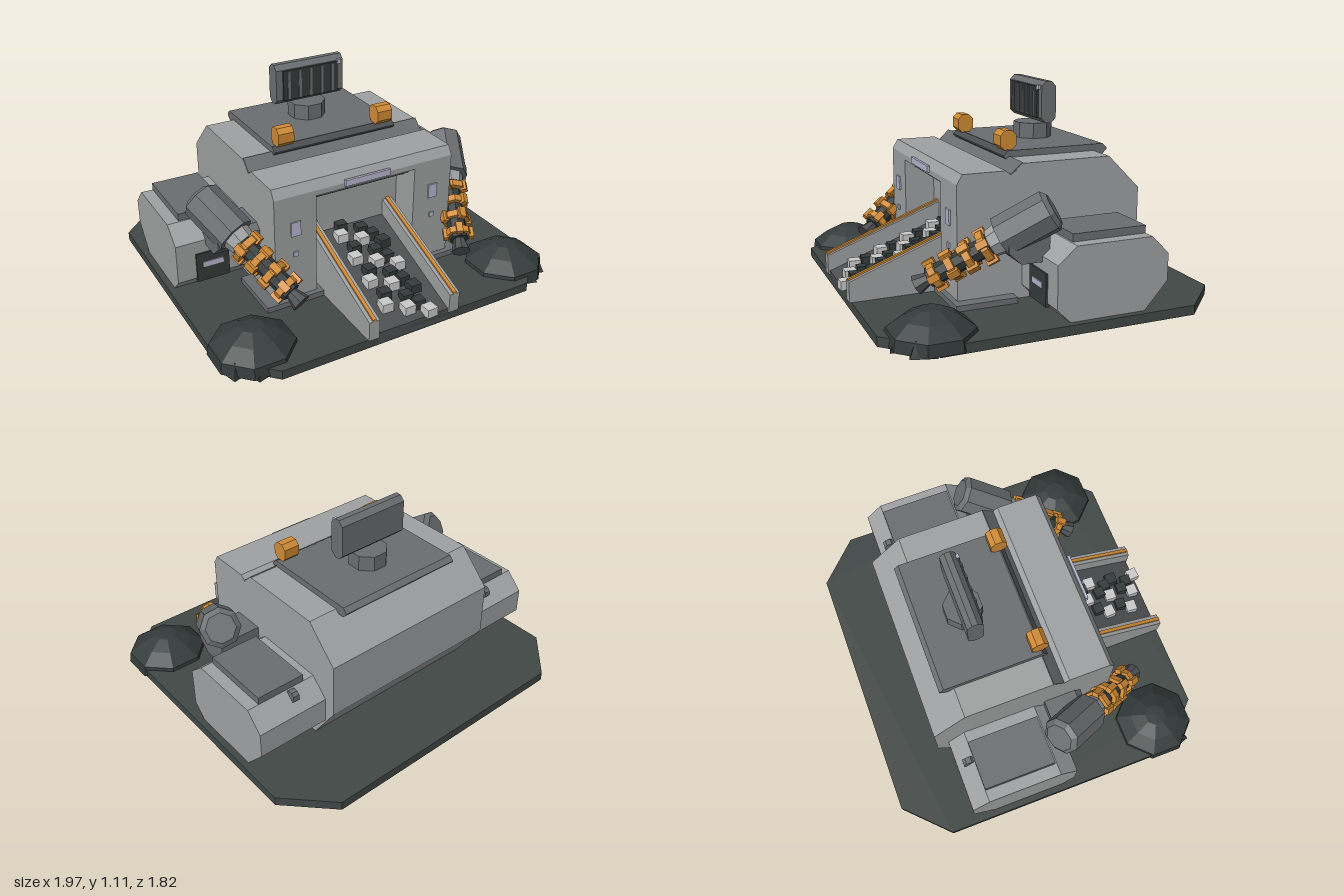
import * as THREE from 'three';

const mat = (name, color) => {
  const m = new THREE.MeshStandardMaterial({ color });
  m.name = name;
  return m;
};

export function createModel() {
  const light = mat('light grey wall', 0x9fa1a2);
  const mid = mat('medium grey metal', 0x6b6e70);
  const dark = mat('dark grey metal', 0x4d4f51);
  const slate = mat('slate ground', 0x414846);
  const black = mat('blackened steel', 0x343b3a);
  const orange = mat('orange trim', 0xd08b35);
  const glow = mat('pale lilac lamp', 0xb9b6cf);
  const pale = mat('pale ore', 0xcbcbcb);

  const root = new THREE.Group();
  root.name = 'refinery';
  root.position.x = 0.01;

  const add = (name, geo, material, parent = root) => {
    const g = geo.index ? geo.toNonIndexed() : geo;
    g.computeVertexNormals();
    const mesh = new THREE.Mesh(g, material);
    mesh.name = name;
    parent.add(mesh);
    return mesh;
  };
  // box from minimum and maximum corners
  const box = (name, m, x0, x1, y0, y1, z0, z1, parent) =>
    add(name, new THREE.BoxGeometry(x1 - x0, y1 - y0, z1 - z0)
      .translate((x0 + x1) / 2, (y0 + y1) / 2, (z0 + z1) / 2), m, parent);
  // side profile of [z, y] points swept from x0 to x1
  const prism = (name, m, pts, x0, x1, parent) => {
    const shape = new THREE.Shape(pts.map(p => new THREE.Vector2(...p)));
    const geo = new THREE.ExtrudeGeometry(shape, { depth: x1 - x0, bevelEnabled: false });
    return add(name, geo.rotateY(-Math.PI / 2).translate(x1, 0, 0), m, parent);
  };
  // rectangle profile with cut corners
  const cut = (z0, z1, y0, y1, c) => [
    [z0 + c, y0], [z1 - c, y0], [z1, y0 + c], [z1, y1 - c],
    [z1 - c, y1], [z0 + c, y1], [z0, y1 - c], [z0, y0 + c]];
  // mirrored pair of boxes or prisms given for the +x side
  const span = (s, a, b) => (s > 0 ? [a, b] : [-b, -a]);

  // ground plate with cut corners
  const plate = new THREE.Shape([
    [-0.74, -0.89], [0.74, -0.89], [0.97, -0.66], [0.97, 0.68],
    [0.74, 0.91], [-0.74, 0.91], [-0.97, 0.68], [-0.97, -0.66]
  ].map(p => new THREE.Vector2(...p)));
  add('groundPlate', new THREE.ExtrudeGeometry(plate, { depth: 0.05, bevelEnabled: false })
    .rotateX(-Math.PI / 2), slate);

  // main hall, front beam and lintel
  prism('mainHall', light, [[0.25, 0.05], [0.25, 0.69], [0.13, 0.695], [0.07, 0.75], [-0.42, 0.75],
    [-0.6, 0.57], [-0.6, 0.27], [-0.45, 0.05]], -0.535, 0.535);
  prism('frontBeam', light, [[0.13, 0.64], [0.42, 0.64], [0.42, 0.67], [0.39, 0.72], [0.16, 0.72],
    [0.13, 0.695]], -0.535, 0.535);
  prism('beamGroove', mid, [[0.132, 0.693], [0.132, 0.701], [0.07, 0.757], [0.068, 0.75]], -0.534, 0.534);
  prism('lintel', light, [[0.25, 0.57], [0.32, 0.57], [0.38, 0.645], [0.25, 0.645]], -0.3, 0.3);
  box('lintelStripe', mid, -0.3, 0.3, 0.6, 0.62, 0.3, 0.365);
  box('frontLamp', glow, -0.135, 0.135, 0.655, 0.69, 0.42, 0.435);

  // roof deck, pivot and scanner panel
  prism('roofDeck', mid, cut(-0.5, 0.1, 0.73, 0.785, 0.025), -0.37, 0.37);
  prism('roofDeckEdge', dark, [[0.076, 0.786], [0.101, 0.76], [0.101, 0.752], [0.066, 0.786]], -0.369, 0.369);
  add('scannerPivot', new THREE.CylinderGeometry(0.106, 0.106, 0.085, 8)
    .rotateY(Math.PI / 8).translate(0, 0.827, -0.235), mid);
  const scanner = new THREE.Group();
  scanner.name = 'scanner';
  root.add(scanner);
  prism('scannerBody', mid, cut(-0.275, -0.19, 0.885, 1.11, 0.027), -0.207, 0.207, scanner);
  box('scannerGrille', black, -0.168, 0.168, 0.91, 1.08, -0.2, -0.18, scanner);
  for (let i = 0; i < 5; i++) {
    const x = -0.135 + i * 0.0675;
    box('grilleSlat', mid, x - 0.008, x + 0.008, 0.915, 1.075, -0.181, -0.175, scanner);
  }
  box('scannerLamp', glow, 0.168, 0.19, 1.065, 1.09, -0.195, -0.178, scanner);

  // conveyor ramp
  prism('conveyorBelt', dark, [[0.89, 0.01], [0.89, 0.07], [0.25, 0.31], [0.25, 0.01]], -0.21, 0.21);
  const chunk = (m, x, z, s, i) => {
    const c = add('oreChunk', new THREE.BoxGeometry(s, 0.05, s), m);
    c.position.set(x, 0.09 + (0.89 - z) * 0.375, z);
    c.rotation.y = (i % 3 - 1) * 0.06;
  };
  for (let col = 0; col < 3; col++) for (let row = 0; row < 4; row++) {
    const x = -0.1 + col * 0.1, z = 0.33 + row * 0.15 + col * 0.05;
    const swap = col === 2 && row % 2 === 0;
    chunk(swap ? black : pale, x, z, 0.063, row + col);
    chunk(black, x + (col === 2 ? -0.03 : 0.03), z - 0.06, 0.058, row);
  }

  const up = new THREE.Vector3(0, 1, 0);
  for (const s of [1, -1]) {
    const side = new THREE.Group();
    side.name = s > 0 ? 'leftSide' : 'rightSide';
    root.add(side);
    const sBox = (n, m, a, b, ...r) => box(n, m, ...span(s, a, b), ...r, side);
    const sPrism = (n, m, p, a, b) => prism(n, m, p, ...span(s, a, b), side);

    // gate tower with windows and footing
    sBox('gateTower', light, 0.298, 0.535, 0.05, 0.645, 0.24, 0.42);
    sBox('towerFooting', mid, 0.27, 0.6, 0.05, 0.08, 0.12, 0.45);
    sBox('towerWindow', glow, 0.39, 0.445, 0.445, 0.525, 0.42, 0.429);
    sBox('towerLamp', glow, 0.405, 0.433, 0.325, 0.352, 0.42, 0.429);

    // ramp wall and rail
    sPrism('rampWall', light, [[0.9, 0.05], [0.9, 0.158], [0.25, 0.402], [0.25, 0.05]], 0.21, 0.27);
    sPrism('rampRail', orange, [[0.9, 0.156], [0.9, 0.168], [0.25, 0.412], [0.25, 0.4]], 0.23, 0.25);

    // roof beacon
    sPrism('roofBeacon', orange, cut(0.02, 0.11, 0.782, 0.885, 0.025), 0.257, 0.348);

    // side pod with roof slab, vent and hatch
    sPrism('sidePod', light, [[0.0, 0.05], [0.07, 0.12], [0.07, 0.34], [-0.03, 0.425], [-0.44, 0.425],
      [-0.535, 0.33], [-0.535, 0.19], [-0.41, 0.05]], 0.53, 0.935);
    sBox('podRoofSlab', mid, 0.6, 0.87, 0.42, 0.465, -0.44, -0.04);
    sPrism('podVent', mid, cut(-0.5, -0.44, 0.37, 0.43, 0.015), 0.67, 0.705);
    sBox('podHatch', black, 0.645, 0.83, 0.1, 0.268, 0.06, 0.08);
    sBox('hatchLamp', glow, 0.68, 0.795, 0.185, 0.215, 0.08, 0.086);

    // shoulder mount
    sPrism('shoulderMount', mid, [[0.03, 0.31], [0.18, 0.31], [0.245, 0.37], [0.245, 0.42],
      [0.21, 0.45], [0.03, 0.45]], 0.53, 0.77);

    // drill arm, built along its own axis
    const arm = new THREE.Group();
    arm.name = 'drillArm';
    side.add(arm);
    const a = new THREE.Vector3(s * 0.765, 0.56, 0.03), b = new THREE.Vector3(s * 0.5, 0.19, 0.6);
    const len = a.distanceTo(b);
    arm.position.copy(a);
    arm.quaternion.setFromUnitVectors(up, b.clone().sub(a).normalize());
    const seg = (n, m, t0, t1, r0, r1 = r0) => add(n, new THREE.CylinderGeometry(r1, r0, (t1 - t0) * len, 8)
      .rotateY(Math.PI / 8).translate(0, (t0 + t1) / 2 * len, 0), m, arm);
    seg('armMotorCap', mid, -0.03, 0, 0.08, 0.108);
    seg('armMotor', mid, 0, 0.37, 0.108);
    seg('armCollar', light, 0.37, 0.45, 0.08, 0.07);
    seg('armShaft', black, 0.4, 0.93, 0.052);
    [0.49, 0.62, 0.75, 0.88].forEach((t, i) => {
      seg('armRing', orange, t - 0.025, t + 0.025, 0.084 - i * 0.004);
      for (let k = 0; k < 4; k++) {
        const lug = box('ringLug', orange, -0.018, 0.018, t * len - 0.03, t * len + 0.03, 0.055, 0.092 - i * 0.003, arm);
        lug.rotation.y = k * Math.PI / 2 + i * 0.4;
      }
    });
    seg('armNozzle', dark, 0.92, 1.03, 0.03, 0.052);

    // corner anchor mound
    const mound = add('anchorMound', new THREE.LatheGeometry([
      [0.225, 0.01], [0.215, 0.07], [0.14, 0.125], [0.06, 0.163], [0, 0.166]
    ].map(p => new THREE.Vector2(...p)), 8), black, side);
    mound.position.set(s * 0.775, 0, 0.64);
    mound.rotation.y = Math.PI / 8;
    // angled claws around the mound
    [[0.9, 0.74], [0.8, 0.8]].forEach(([x, z]) => {
      const claw = add('anchorClaw', new THREE.CylinderGeometry(0.05, 0.09, 0.075, 4), black, side);
      claw.position.set(s * x, 0.04, z - 0.02);
      claw.rotation.y = s * 0.5;
    });
  }
  return root;
}
